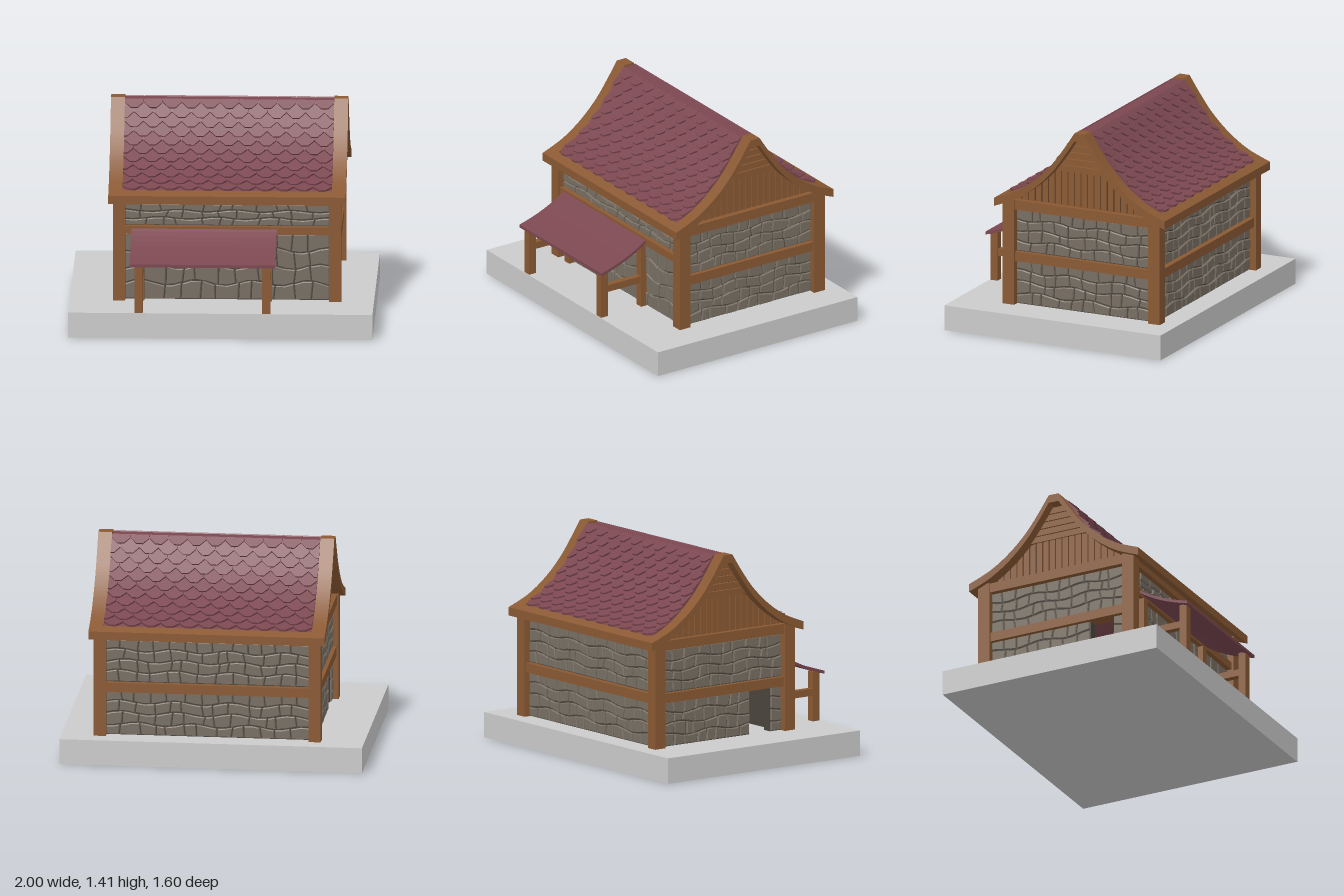
import * as THREE from 'three';
import { mergeGeometries } from 'three/addons/utils/BufferGeometryUtils.js';

const paint = (color) => new THREE.MeshStandardMaterial({ color });
const wood = paint(0x8a5933), darkWood = paint(0x4a3020), red = paint(0x7b4750);
const stone = paint(0x786f63), mortar = paint(0x4a443c), grey = paint(0xcccccc);

let seed = 7;
const rand = () => (seed = (seed * 16807) % 2147483647) / 2147483647 - 0.5;

function add(parent, name, geometry, material) {
  const mesh = new THREE.Mesh(geometry, material);
  mesh.name = name;
  parent.add(mesh);
}

// Box given by its limits on each axis
function box(parent, name, material, x0, x1, y0, y1, z0, z1) {
  const g = new THREE.BoxGeometry(x1 - x0, y1 - y0, z1 - z0);
  g.translate((x0 + x1) / 2, (y0 + y1) / 2, (z0 + z1) / 2);
  add(parent, name, g, material);
}

const polygon = (pts) => new THREE.Shape(pts.map(([x, y]) => new THREE.Vector2(x, y)));

// Extrudes a (z, y) outline along x
function alongX(pts, x0, x1) {
  const g = new THREE.ExtrudeGeometry(polygon(pts), { depth: x1 - x0, bevelEnabled: false });
  return g.rotateY(-Math.PI / 2).translate(x1, 0, 0);
}

// Closed outline between a line of points shifted up or down by two offsets
const strip = (line, top, bottom) => [
  ...line.map(([z, y]) => [z, y + bottom]),
  ...line.map(([z, y]) => [z, y + top]).reverse(),
];
// Continues a half outline with its mirror image
const mirrored = (half) => [...half, ...half.map(([z, y]) => [-z, y]).reverse()];

// Masonry panel facing +z: backing slab plus rows of uneven stones
function stonePanel(parent, x0, x1, y0, y1, cols, rows) {
  box(parent, 'wallBacking', mortar, x0, x1, y0, y1, -0.06, 0);
  const h = (y1 - y0) / rows, w = (x1 - x0) / cols, stones = [];
  const phases = Array.from({ length: rows + 1 }, () => rand() * 12);
  const level = (r, x) => y0 + r * h +
    (r === 0 || r === rows ? 0 : h * 0.16 * Math.sin(x * 17 + phases[r]));
  for (let r = 0; r < rows; r++) {
    const joints = [];
    for (let c = 0; c <= cols; c++) {
      const end = c === 0 || c === cols;
      const x = x0 + c * w + (end ? 0 : rand() * w * 0.5);
      joints.push([x, x + (end ? 0 : rand() * w * 0.2)]);
    }
    for (let c = 0; c < cols; c++) {
      const [a, b] = [joints[c], joints[c + 1]], i = 0.009;
      const mid = (a[0] + b[0]) / 2;
      const shape = polygon([
        [a[0] + i, level(r, a[0]) + i], [mid, level(r, mid) + i], [b[0] - i, level(r, b[0]) + i],
        [b[1] - i, level(r + 1, b[1]) - i], [mid, level(r + 1, mid) - i], [a[1] + i, level(r + 1, a[1]) - i],
      ]);
      stones.push(new THREE.ExtrudeGeometry(shape, {
        depth: 0.009 + rand() * 0.005, bevelSize: 0.005, bevelThickness: 0.005, bevelSegments: 1,
      }));
    }
  }
  add(parent, 'stones', mergeGeometries(stones), stone);
}

// Named group turned about y, so one side can be built facing its own +z or +x
function side(parent, name, angle, x, z) {
  const g = new THREE.Group();
  g.name = name;
  g.rotation.y = angle;
  g.position.set(x, 0, z);
  parent.add(g);
  return g;
}

// Half profile of the sweeping roof: (distance from the ridge line, height)
const roofCurve = new THREE.SplineCurve([[0.625, 0.893], [0.465, 0.96], [0.327, 1.054],
  [0.207, 1.17], [0.116, 1.29], [0.036, 1.41]].map(([d, y]) => new THREE.Vector2(d, y)));
const roofPoint = (t) => roofCurve.getPointAt(Math.min(1, t));
const sample = (t0, t1, n) => Array.from({ length: n + 1 }, (_, i) => {
  const p = roofPoint(t0 + ((t1 - t0) * i) / n);
  return [p.x, p.y];
});
const T0 = 0.085; // where the tiles begin above the eaves board
const THICK = 0.055;
const profile = sample(0, 1, 40);

// Underside of the roof: half-width at a height, and height at a distance
function halfWidth(y) {
  for (let i = 1; i < profile.length; i++) {
    const [a, b] = [profile[i - 1], profile[i]], k = (y + THICK - a[1]) / (b[1] - a[1]);
    if (k <= 1) return a[0] + (b[0] - a[0]) * k;
  }
  return 0.036;
}
function underside(d) {
  for (let i = 1; i < profile.length; i++) {
    const [a, b] = [profile[i - 1], profile[i]];
    if (d >= b[0]) return a[1] + ((b[1] - a[1]) * (d - a[0])) / (b[0] - a[0]) - THICK;
  }
  return 1.355;
}

// Overlapping pointed tiles for the +z slope
function tileGeometry(half, cols, rows) {
  const tiles = [], w = (2 * half) / cols, X = new THREE.Vector3(1, 0, 0);
  const clamp = (x) => Math.max(-half, Math.min(half, x));
  const at = (row) => {
    const p = roofPoint(T0 + ((1 - T0) * row) / rows);
    return new THREE.Vector3(0, p.y - 0.018, p.x);
  };
  for (let r = 0; r < rows; r++) {
    const low = at(r), high = at(r + 1.6);
    const normal = X.clone().cross(high.clone().sub(low)).normalize();
    low.addScaledVector(normal, 0.02);
    const up = high.sub(low), len = up.length();
    up.normalize();
    const m = new THREE.Matrix4().makeBasis(X, up, X.clone().cross(up)).setPosition(low);
    const odd = r % 2;
    for (let c = 0; c < cols + odd; c++) {
      const cx = -half + (c + (odd ? 0 : 0.5)) * w;
      const pts = [[-0.49, len], [-0.49, 0.042], [-0.17, 0], [0.17, 0], [0.49, 0.042], [0.49, len]]
        .map(([u, v]) => [clamp(cx + u * w), v]);
      tiles.push(new THREE.ExtrudeGeometry(polygon(pts), { depth: 0.014, bevelEnabled: false }).applyMatrix4(m));
    }
  }
  return mergeGeometries(tiles);
}

function buildRoof(parent) {
  const roof = side(parent, 'roof', 0, 0.035, -0.112);
  const H = 0.78, I = 0.688;
  add(roof, 'roofDeck', alongX(strip(mirrored(sample(T0, 1, 30)), -0.02, -THICK), -I, I), red);
  box(roof, 'ridgeCap', red, -I, I, 1.37, 1.397, -0.037, 0.037);
  const tiles = tileGeometry(I, 11, 11);
  for (const turn of [0, Math.PI]) {
    const slope = side(roof, 'slope', turn, 0, 0);
    add(slope, 'roofTiles', tiles, red);
    add(slope, 'eavesBoard', alongX(strip(sample(0, T0, 3), 0, -THICK), -I, I), wood);
    // Gable end: curved verge board, upright planks and clapboards above
    const gable = side(roof, 'gable', turn, 0, 0);
    add(gable, 'vergeBoard', alongX(strip(mirrored(profile), 0, -THICK), I, H), wood);
    const backing = [];
    for (let y = 0.87; y < 1.355; y += 0.02) backing.push([halfWidth(y), y]);
    add(gable, 'gableBacking', alongX(mirrored(backing), 0.66, 0.69), darkWood);
    const boards = [], pitch = 0.048;
    for (let i = -11; i <= 11; i++) {
      const a = i * pitch - 0.02, b = a + 0.04;
      const ya = Math.min(1.12, underside(Math.abs(a))), yb = Math.min(1.12, underside(Math.abs(b)));
      if (Math.min(ya, yb) > 0.885) boards.push(alongX([[a, 0.88], [b, 0.88], [b, yb], [a, ya]], 0.69, 0.703));
    }
    for (let i = 0; i < 5; i++) {
      const y0 = 1.12 + i * 0.047, y1 = y0 + 0.041, a = halfWidth(y0), b = halfWidth(y1);
      boards.push(alongX([[-a, y0], [a, y0], [b, y1], [-b, y1]], 0.69, 0.712));
    }
    add(gable, 'gablePlanks', mergeGeometries(boards), wood);
  }
}

function buildAwning(parent) {
  const awning = side(parent, 'awning', 0, 0, 0);
  const curve = new THREE.QuadraticBezierCurve(new THREE.Vector2(0.8, 0.505),
    new THREE.Vector2(0.58, 0.56), new THREE.Vector2(0.43, 0.67));
  const top = curve.getPoints(8).map((p) => [p.x, p.y]);
  add(awning, 'awningRoof', alongX(strip(top, 0, -0.02), -0.595, 0.362), red);
  for (const x of [-0.565, 0.275]) {
    box(awning, 'awningPost', wood, x, x + 0.055, 0.17, 0.5, 0.727, 0.78);
    box(awning, 'awningWallPost', wood, x, x + 0.055, 0.17, 0.61, 0.41, 0.463);
    box(awning, 'awningRail', wood, x + 0.006, x + 0.049, 0.34, 0.387, 0.45, 0.735);
  }
}

export function createModel() {
  const house = new THREE.Group();
  house.name = 'house';
  box(house, 'base', grey, -1, 1, 0, 0.17, -0.8, 0.785);

  // Corner posts
  for (const x of [-0.715, 0.705]) for (const z of [-0.688, 0.38])
    box(house, 'cornerPost', wood, x, x + 0.08, 0.17, 0.885, z, z + 0.085);

  // Front and back walls
  const front = side(house, 'frontWall', 0, 0.035, 0.41);
  stonePanel(front, -0.675, 0.675, 0.17, 0.62, 11, 4);
  stonePanel(front, -0.675, 0.675, 0.67, 0.82, 11, 3);
  box(front, 'middleBeam', wood, -0.675, 0.675, 0.62, 0.672, -0.04, 0.04);
  const back = side(house, 'backWall', Math.PI, 0.035, -0.635);
  stonePanel(back, -0.675, 0.675, 0.17, 0.47, 13, 4);
  stonePanel(back, -0.675, 0.675, 0.53, 0.82, 13, 4);
  box(back, 'middleBeam', wood, -0.675, 0.675, 0.467, 0.53, -0.04, 0.04);

  // Walls under the gables; the one at -x has a doorway
  const plain = side(house, 'gableWall', Math.PI / 2, 0.735, -0.112);
  stonePanel(plain, -0.495, 0.495, 0.17, 0.47, 10, 4);
  const door = side(house, 'doorWall', -Math.PI / 2, -0.665, -0.112);
  stonePanel(door, -0.495, 0.235, 0.17, 0.47, 8, 4);
  stonePanel(door, 0.405, 0.495, 0.17, 0.47, 1, 4);
  for (const wall of [plain, door]) {
    stonePanel(wall, -0.495, 0.495, 0.53, 0.82, 10, 4);
    box(wall, 'middleBeam', wood, -0.495, 0.495, 0.467, 0.53, -0.06, 0.035);
  }

  // Beams at the top of the walls
  for (const [wall, half] of [[front, 0.675], [back, 0.675], [plain, 0.495], [door, 0.495]])
    box(wall, 'topBeam', wood, -half, half, 0.82, 0.885, -0.06, 0.04);

  buildRoof(house);
  buildAwning(house);
  return house;
}
